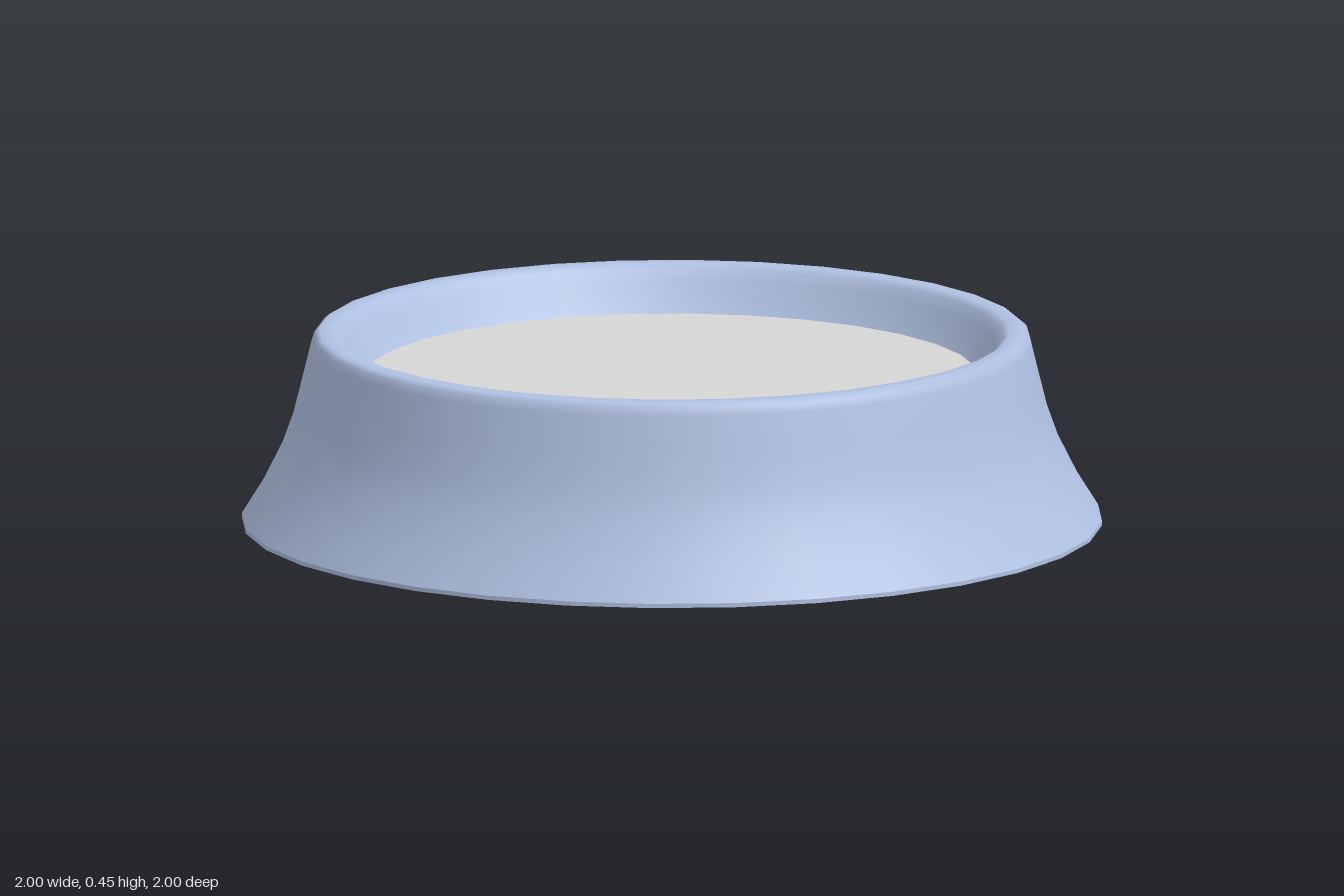
import * as THREE from 'three';

const SEGMENTS = 32;

// Smooth surface of revolution from [radius, height] pairs
function lathe(name, points, material) {
  const profile = points.map(([r, y]) => new THREE.Vector2(r, y));
  const mesh = new THREE.Mesh(new THREE.LatheGeometry(profile, SEGMENTS), material);
  mesh.name = name;
  return mesh;
}

export function createModel() {
  const blue = new THREE.MeshStandardMaterial({ color: 0xb0c1e2 });
  blue.name = 'pale blue';
  const grey = new THREE.MeshStandardMaterial({ color: 0xd6d6d6 });
  grey.name = 'light grey';

  const group = new THREE.Group();
  group.name = 'bowl';

  // Flared outer wall, rounded rim and inner wall down to the filling
  group.add(lathe('outerWallAndRim', [
    [1.0, 0.01], [0.95, 0.09], [0.905, 0.18], [0.88, 0.25], [0.86, 0.33],
    [0.838, 0.42], [0.832, 0.44], [0.82, 0.45], [0.785, 0.45], [0.77, 0.44],
    [0.755, 0.415], [0.73, 0.37], [0.712, 0.345],
  ], blue));

  // Thin lip around the foot
  group.add(lathe('footLip', [[1.0, 0], [1.0, 0.01]], blue));
  group.add(lathe('footEdge', [[0.985, 0], [1.0, 0]], blue));

  // Rounded underside of the basin and the hollow inside of the wall
  group.add(lathe('basinUnderside', [
    [0, 0.1], [0.15, 0.105], [0.3, 0.12], [0.5, 0.17], [0.65, 0.235],
    [0.72, 0.285], [0.76, 0.36], [0.785, 0.43],
  ], blue));
  group.add(lathe('innerWall', [
    [0.785, 0.435], [0.818, 0.43], [0.845, 0.33], [0.865, 0.25],
    [0.89, 0.18], [0.935, 0.09], [0.985, 0],
  ], blue));

  // Flat filling
  const filling = new THREE.Mesh(new THREE.CircleGeometry(0.712, SEGMENTS), grey);
  filling.name = 'filling';
  filling.rotation.x = -Math.PI / 2;
  filling.position.y = 0.345;
  group.add(filling);

  return group;
}
